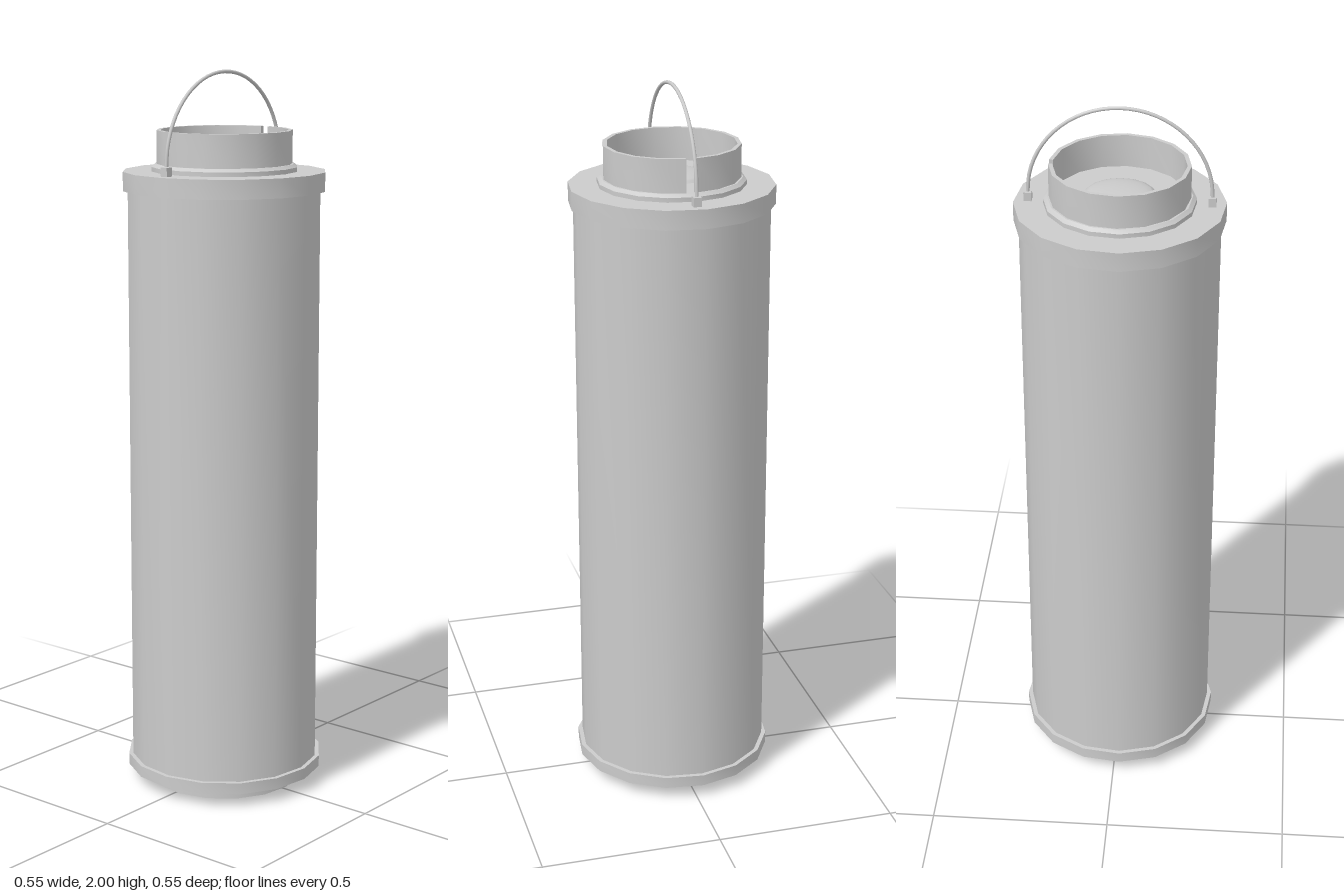
import * as THREE from 'three';
import { toCreasedNormals } from 'three/addons/utils/BufferGeometryUtils.js';

const SIDES = 16;
const TURN = 0.065; // slight twist of the 16-sided parts
const CREASE = 0.6;

export function createModel() {
  const group = new THREE.Group();
  const grey = new THREE.MeshStandardMaterial({ color: 0xcccccc });

  function add(name, geometry, x = 0, y = 0, z = 0) {
    const mesh = new THREE.Mesh(geometry, grey);
    mesh.name = name;
    mesh.position.set(x, y, z);
    group.add(mesh);
    return mesh;
  }

  // Turned part from [radius, height] pairs, outer side listed upwards
  function turned(name, profile) {
    const points = profile.map(([r, y]) => new THREE.Vector2(r, y));
    const geometry = new THREE.LatheGeometry(points, SIDES, TURN);
    return add(name, toCreasedNormals(geometry, CREASE));
  }

  // Hollow foot with the deep cavity above it
  turned('foot', [[0.18, 0], [0.215, 0], [0.215, 0.045]]);
  turned('cavity', [[0, 1.7], [0.19, 1.7], [0.19, 0.012], [0.18, 0.012], [0.18, 0]]);

  // Long casing between the two rims
  turned('bottomRim', [[0.2, 0.038], [0.277, 0.038], [0.277, 0.07], [0.26, 0.07]]);
  turned('casing', [[0.265, 0.06], [0.265, 1.69]]);
  turned('topFlange', [[0.26, 1.678], [0.278, 1.678], [0.278, 1.73], [0, 1.73]]);

  // Raised collar with a chamfered edge, floor and shallow dome inside the neck
  turned('collar', [[0.2, 1.73], [0.2, 1.742], [0.19, 1.75], [0, 1.75]]);
  const domePoints = [];
  for (let i = 0; i <= 6; i++) {
    const a = (i / 6) * Math.PI / 2;
    domePoints.push([0.096 * Math.cos(a), 1.75 + 0.018 * Math.sin(a)]);
  }
  turned('dome', domePoints);

  // Neck wall, a C-shaped ring with a narrow slot on the left
  const ring = [];
  const arc = (radius, i) => {
    const a = TURN + (i / SIDES) * (Math.PI * 2 - TURN * 2);
    return new THREE.Vector2(radius * Math.cos(a), radius * Math.sin(a));
  };
  for (let i = 0; i <= SIDES; i++) ring.push(arc(0.185, i));
  for (let i = SIDES; i >= 0; i--) ring.push(arc(0.174, i));
  const neck = new THREE.ExtrudeGeometry(new THREE.Shape(ring), { depth: 0.095, bevelEnabled: false });
  neck.rotateX(-Math.PI / 2);
  add('neck', toCreasedNormals(neck, CREASE), 0, 1.745, 0);

  // Wire handle held by two small lugs
  const wire = [];
  for (let i = 0; i <= 16; i++) {
    const a = (i / 16) * Math.PI;
    wire.push(new THREE.Vector3(0.24 * Math.cos(a), 1.755 + 0.24 * Math.sin(a), 0));
  }
  add('handle', new THREE.TubeGeometry(new THREE.CatmullRomCurve3(wire), 32, 0.005, 8));
  for (const side of [-1, 1]) {
    add(side > 0 ? 'leftLug' : 'rightLug', new THREE.BoxGeometry(0.021, 0.024, 0.021), side * 0.24, 1.742, 0);
  }

  // Small locking pin on the foot
  const pin = new THREE.CylinderGeometry(0.01, 0.01, 0.045, 10);
  pin.rotateZ(Math.PI / 2);
  add('lockingPin', toCreasedNormals(pin, 0.7), -0.205, 0.024, 0);

  return group;
}
